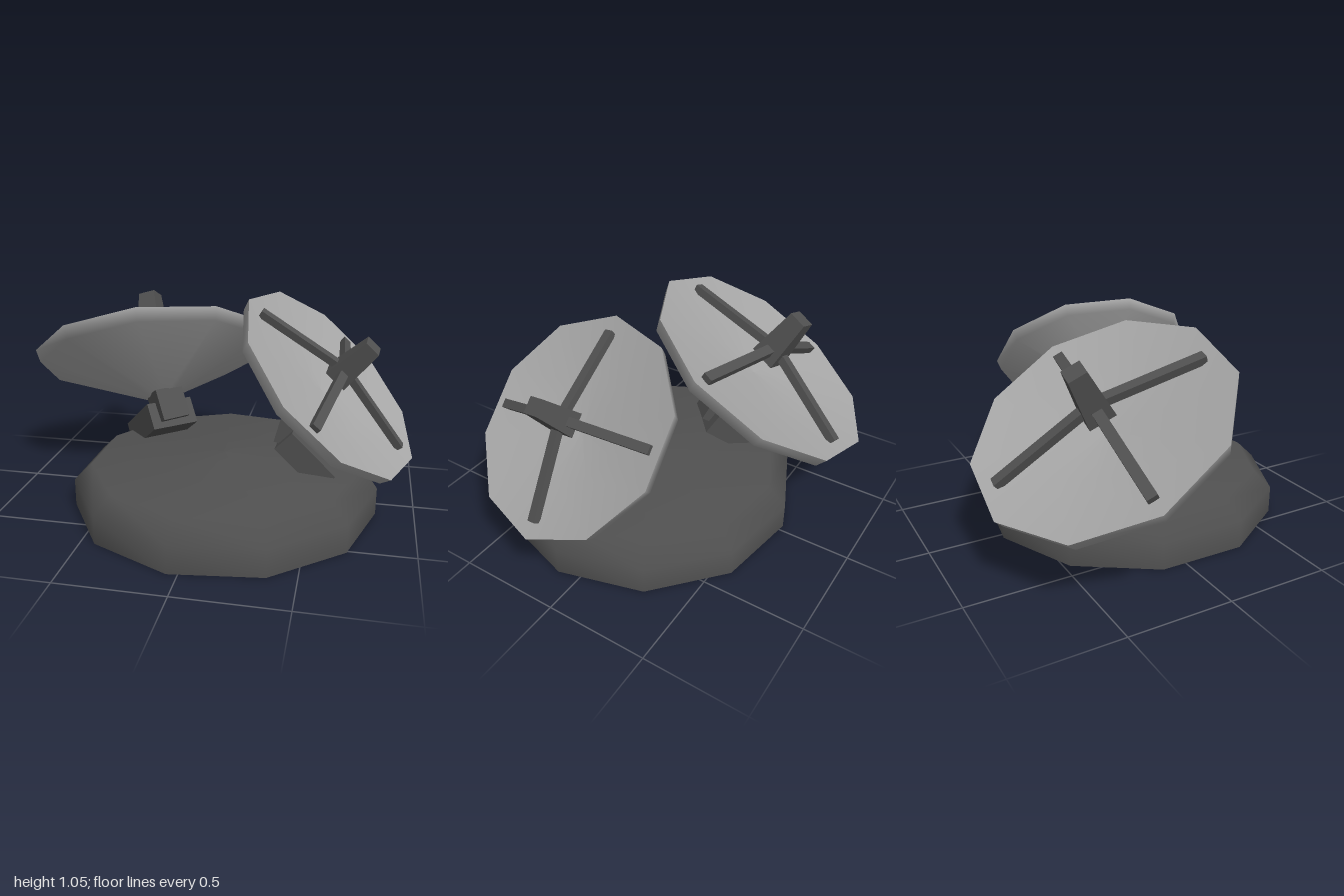
import * as THREE from 'three';

const V = (x, y, z) => new THREE.Vector3(x, y, z);
const darkMetal = new THREE.MeshStandardMaterial({ color: 0x505050 });
const dishGrey = new THREE.MeshStandardMaterial({ color: 0xa6a6a6 });
darkMetal.name = 'darkMetal';
dishGrey.name = 'dishGrey';

function mesh(name, geometry, material) {
  const m = new THREE.Mesh(geometry, material);
  m.name = name;
  return m;
}

// Surface of revolution with few sides; points run from bottom to top
function lathe(name, points, sides, phase, material) {
  const pts = points.map(([r, y]) => new THREE.Vector2(r, y));
  return mesh(name, new THREE.LatheGeometry(pts, sides, phase), material);
}

// Box running from one point to another; width is measured sideways, along `side`
function bar(name, from, to, width, thick, side) {
  const dir = to.clone().sub(from);
  const length = dir.length();
  dir.normalize();
  const z = side.clone().addScaledVector(dir, -side.dot(dir)).normalize();
  const x = dir.clone().cross(z);
  const m = mesh(name, new THREE.BoxGeometry(thick, length, width), darkMetal);
  m.quaternion.setFromRotationMatrix(new THREE.Matrix4().makeBasis(x, dir, z));
  m.position.copy(from).add(to).multiplyScalar(0.5);
  return m;
}

// Dish with its opening at y = 0, facing +y
function makeDish(name) {
  const g = new THREE.Group();
  g.name = name;
  const phase = Math.PI / 10;
  g.add(lathe('dishBack', [[0, -0.3], [0.07, -0.285], [0.61, -0.065], [0.63, 0]], 10, phase, dishGrey));
  g.add(lathe('dishBowl', [[0.63, 0], [0.3, -0.06], [0, -0.085]], 10, phase, dishGrey));

  // Four struts rising from the bowl to the receiver
  for (let i = 0; i < 4; i++) {
    const a = i * Math.PI / 2;
    const out = V(Math.cos(a), 0, Math.sin(a));
    const foot = out.clone().multiplyScalar(0.535).setY(-0.005);
    g.add(bar('strut', foot, V(0, 0.1, 0), 0.05, 0.04, V(-out.z, 0, out.x)));
  }

  // Tapered receiver
  const receiver = new THREE.CylinderGeometry(0.065, 0.095, 0.27, 4).toNonIndexed();
  receiver.computeVertexNormals();
  receiver.rotateY(Math.PI / 4);
  receiver.translate(0, 0.17, 0);
  g.add(mesh('receiver', receiver, darkMetal));
  return g;
}

// Place a dish: centre of opening, facing direction, direction of one strut
function placeDish(name, centre, facing, strut, scale) {
  const d = makeDish(name);
  const n = facing.clone().normalize();
  const u = strut.clone().addScaledVector(n, -strut.dot(n)).normalize();
  d.quaternion.setFromRotationMatrix(new THREE.Matrix4().makeBasis(u, n, u.clone().cross(n)));
  d.position.copy(centre);
  d.scale.setScalar(scale);
  return d;
}

// Elbow mount: wide lower arm leaning from the base, narrow upper arm to the dish
function makeMount(name, foot, elbow, top, scale) {
  const g = new THREE.Group();
  g.name = name;
  const side = elbow.clone().sub(foot).cross(V(0, 1, 0)).normalize();
  g.add(bar('lowerArm', foot, elbow, 0.25 * scale, 0.14 * scale, side));
  g.add(bar('upperArm', elbow.clone().add(V(0, -0.04, 0)), top, 0.15 * scale, 0.13 * scale, side));
  return g;
}

export function createModel() {
  const model = new THREE.Group();
  model.name = 'dishStation';

  // Round base with bevelled edge and slightly conical top
  const base = new THREE.Group();
  base.name = 'base';
  const phase = THREE.MathUtils.degToRad(-8.8);
  base.add(lathe('baseBody', [[0.75, 0], [0.75, 0.135], [0.66, 0.222], [0, 0.263]], 11, phase, darkMetal));
  base.add(lathe('baseUnderside', [[0, 0], [0.75, 0]], 11, phase, darkMetal));
  base.position.set(0.065, 0, 0.1);
  model.add(base);

  // Large dish, facing back and up
  model.add(placeDish('largeDish', V(-0.4, 0.67, -0.3), V(-0.21, 0.838, -0.503), V(0.51, 0.152, 0.04), 1));
  model.add(makeMount('largeMount', V(-0.43, 0.18, -0.29), V(-0.25, 0.38, -0.08), V(-0.31, 0.48, -0.14), 1));

  // Small dish, facing left and up
  model.add(placeDish('smallDish', V(0.575, 0.685, 0.155), V(0.68, 0.712, 0.18), V(0.34, -0.32, -0.02), 0.85));
  model.add(makeMount('smallMount', V(0.58, 0.19, 0.125), V(0.37, 0.39, 0.115), V(0.42, 0.54, 0.11), 0.85));

  return model;
}
